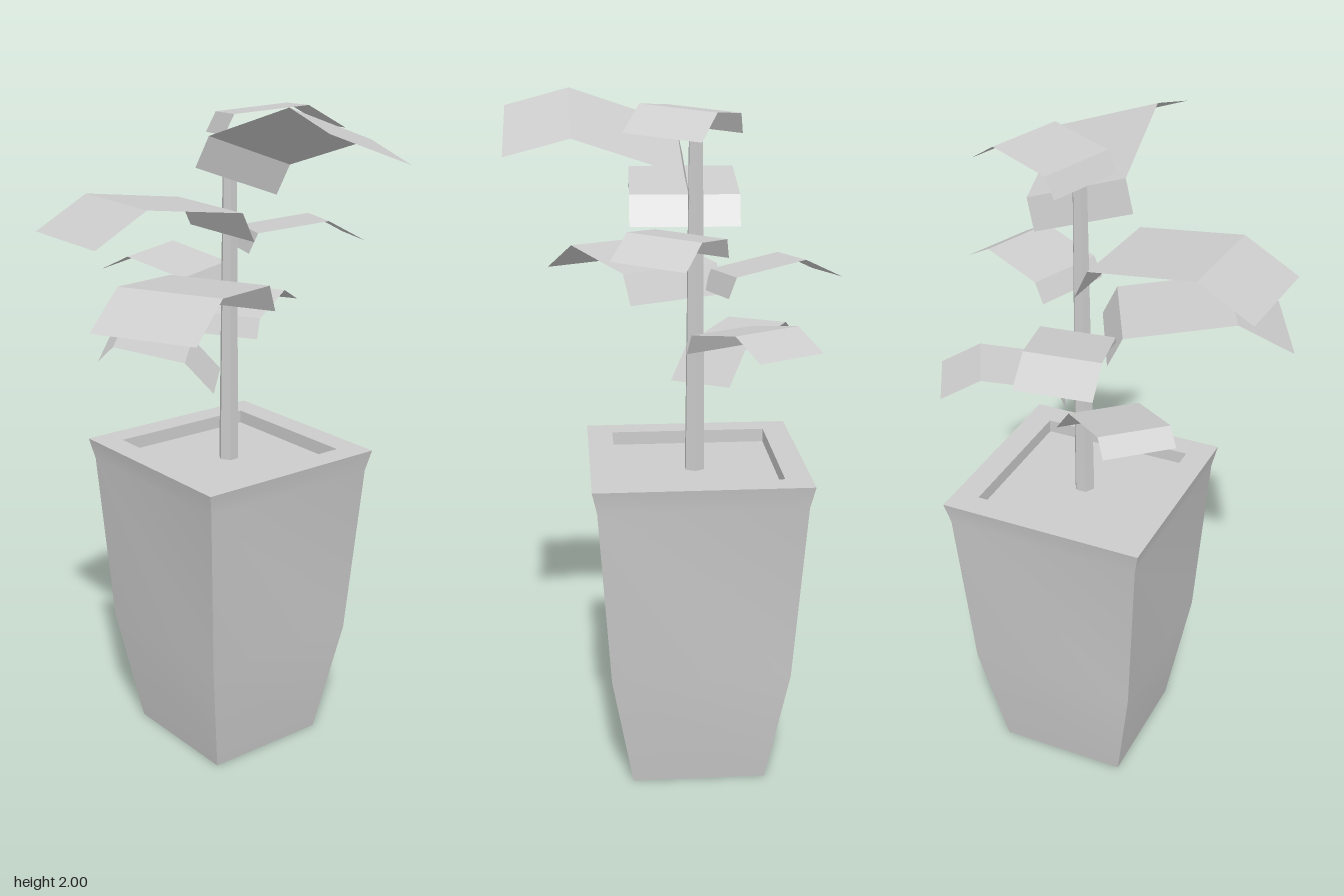
import * as THREE from 'three';
import { toCreasedNormals } from 'three/addons/utils/BufferGeometryUtils.js';

const CENTRE = [0.09, -0.05]; // x, z of pot and stem
const SOIL_Y = 0.915;

// Folded leaf of unit width: short stalk flap, flat blade, drooping tip
function leafGeometry() {
  const fold = [[-0.163, -0.252], [0, 0], [1, 0], [1.473, -0.344]]; // z, y
  const geo = new THREE.PlaneGeometry(1, 1, 1, fold.length - 1);
  const pos = geo.attributes.position;
  for (let i = 0; i < pos.count; i++) {
    const [z, y] = fold[Math.floor(i / 2)];
    pos.setXYZ(i, pos.getX(i), y, z);
  }
  geo.computeVertexNormals();
  return geo;
}

export function createModel() {
  const model = new THREE.Group();
  model.name = 'pottedPlant';
  const smooth = new THREE.MeshStandardMaterial({ color: 0xcccccc, side: THREE.DoubleSide });
  const flat = new THREE.MeshStandardMaterial({ color: 0xcccccc, side: THREE.DoubleSide, flatShading: true });

  const add = (name, geo, mat, x, y, z) => {
    const mesh = new THREE.Mesh(geo, mat);
    mesh.name = name;
    mesh.position.set(x, y, z);
    model.add(mesh);
    return mesh;
  };

  // Square pot, open underneath: half width and height up the wall, over the rim and inside
  const profile = [
    [0.196, 0], [0.258, 0.36], [0.293, 0.89], [0.307, 0.955],
    [0.232, 0.955], [0.232, SOIL_Y],
  ].map(([w, y]) => new THREE.Vector2(w * Math.SQRT2, y));
  const pot = toCreasedNormals(new THREE.LatheGeometry(profile, 4, Math.PI / 4), 0.6);
  add('pot', pot, smooth, CENTRE[0], 0, CENTRE[1]);

  // Soil
  const soil = new THREE.PlaneGeometry(0.464, 0.464).rotateX(-Math.PI / 2);
  add('soil', soil, flat, CENTRE[0], SOIL_Y, CENTRE[1]);

  // Tapered stem
  const stemHeight = 1.9 - SOIL_Y;
  const stem = new THREE.CylinderGeometry(0.021, 0.031, stemHeight, 6);
  stem.rotateY(Math.PI / 6);
  add('stem', stem, flat, CENTRE[0], SOIL_Y + stemHeight / 2, CENTRE[1]);

  // Leaves: blade base x, y, z, width, then yaw, upward pitch and roll in degrees
  const leaves = [
    [0.127, 1.843, -0.003, 0.315, 0, 20, -19.7],
    [0.088, 1.945, -0.071, 0.215, 66, 5, -4.5],
    [0.001, 1.70, -0.027, 0.314, -92.5, 7.5, 0],
    [0.148, 1.613, -0.032, 0.211, 65, 7, -4],
    [0.003, 1.49, 0.013, 0.314, -63, 6, 0],
    [0.063, 1.486, -0.133, 0.211, 194, 10, -4],
    [0.141, 1.338, -0.123, 0.211, 119, 11, 0],
    [-0.163, 1.297, -0.26, 0.214, 47, -12, 4],
  ];
  const leafGeo = leafGeometry();
  const rad = THREE.MathUtils.degToRad;
  leaves.forEach(([x, y, z, size, yaw, pitch, roll], i) => {
    const leaf = add(`leaf${i + 1}`, leafGeo, flat, x, y, z);
    leaf.scale.setScalar(size);
    leaf.rotation.set(rad(-pitch), rad(yaw), rad(roll), 'YZX');
  });

  return model;
}
